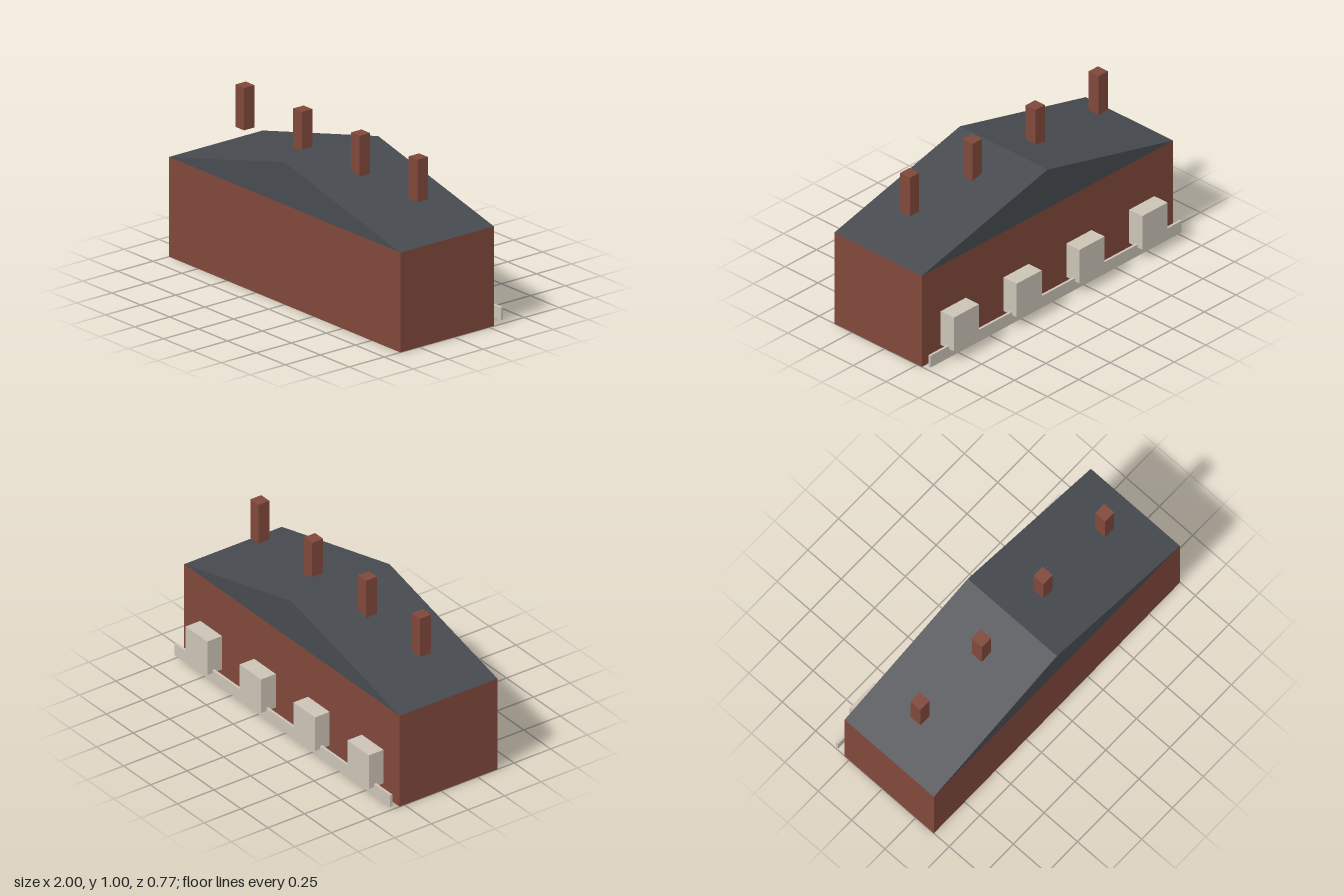
import * as THREE from 'three';

const mat = (color) => new THREE.MeshStandardMaterial({ color, flatShading: true });

export function createModel() {
  const model = new THREE.Group();
  const brick = mat(0x80483b);
  const slate = mat(0x474b50);
  const stone = mat(0xcbc3b5);

  // Box given by its centre x, and its y and z ranges
  function box(name, material, x, width, [y0, y1], [z0, z1]) {
    const mesh = new THREE.Mesh(new THREE.BoxGeometry(width, y1 - y0, z1 - z0), material);
    mesh.position.set(x, (y0 + y1) / 2, (z0 + z1) / 2);
    mesh.name = name;
    model.add(mesh);
  }

  const back = -0.283, front = 0.385, eaves = 0.585, ridge = 0.833;

  // Main block
  box('walls', brick, 0, 2, [0, eaves], [back, front]);

  // Gabled roof, ridge running front to back
  const gable = new THREE.Shape([
    new THREE.Vector2(-1, eaves),
    new THREE.Vector2(1, eaves),
    new THREE.Vector2(0, ridge),
  ]);
  const roof = new THREE.Mesh(
    new THREE.ExtrudeGeometry(gable, { depth: front - back, bevelEnabled: false }), slate);
  roof.position.z = back;
  roof.name = 'roof';
  model.add(roof);

  // One chimney and one rear bay per dwelling
  [-0.75, -0.25, 0.25, 0.75].forEach((x, i) => {
    box(`chimney${i + 1}`, brick, x, 0.075, [0.752, 1], [0.0125, 0.0875]);
    box(`rearBay${i + 1}`, stone, x, 0.2, [0.077, 0.293], [-0.383, back + 0.02]);
  });

  // Low rail along the back
  box('rearRail', stone, 0, 2, [0.022, 0.097], [-0.348, -0.333]);

  return model;
}
